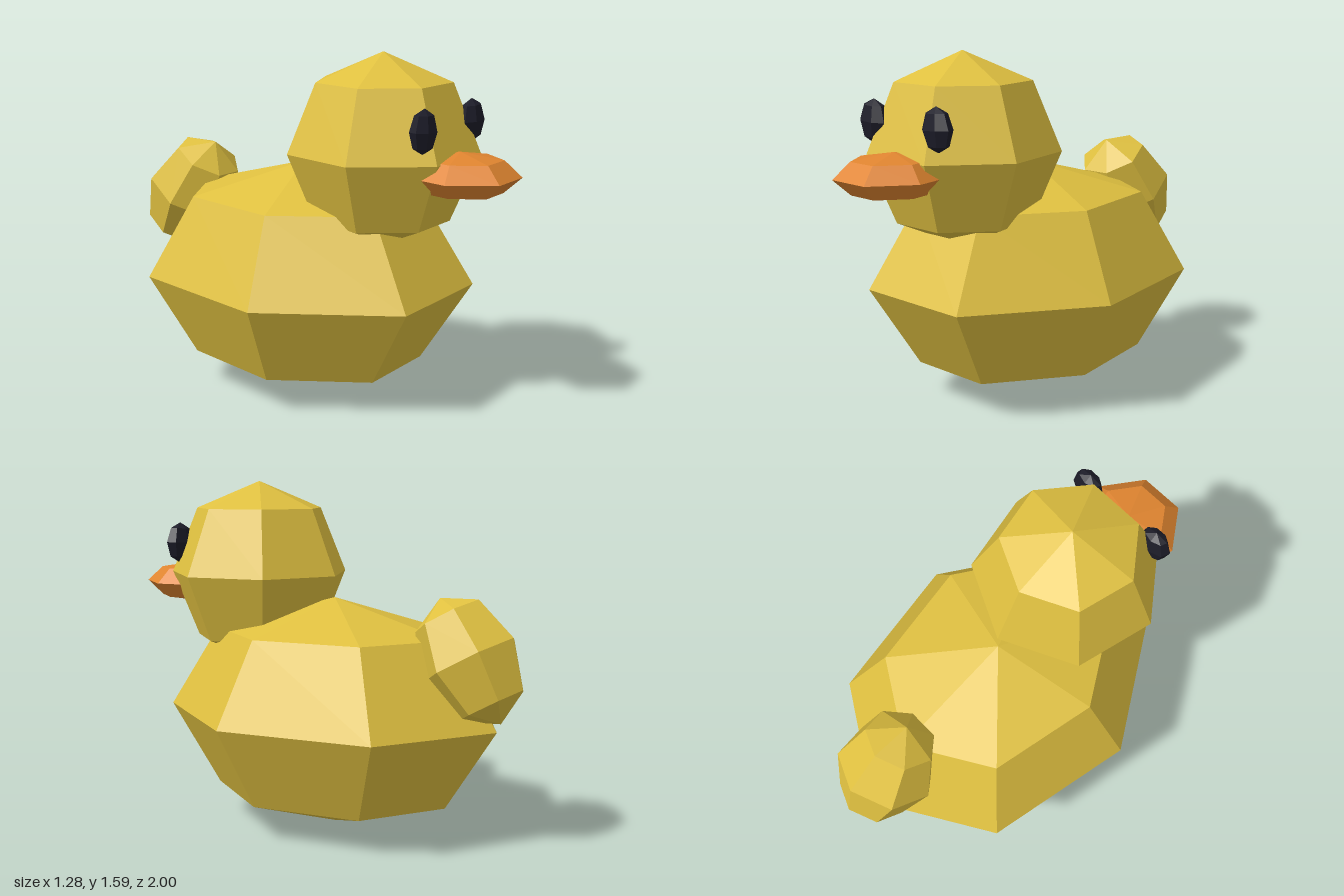
import * as THREE from 'three';

const mat = (name, color) => {
  const m = new THREE.MeshStandardMaterial({ color, flatShading: true });
  m.name = name;
  return m;
};

export function createModel() {
  const duck = new THREE.Group();
  duck.name = 'duck';
  const yellow = mat('yellow', 0xdfc040);
  const orange = mat('orange', 0xe08530);
  const black = mat('nearBlack', 0x1c1c28);

  // Seven-sided low-poly ball with one vertex column at the back and a flat facet in front
  const ball = (name, material, radii, position) => {
    const geo = new THREE.SphereGeometry(1, 7, 4);
    geo.rotateY(-Math.PI / 2);
    geo.scale(...radii);
    const mesh = new THREE.Mesh(geo, material);
    mesh.name = name;
    mesh.position.set(...position);
    duck.add(mesh);
    return mesh;
  };

  ball('body', yellow, [0.657, 0.53, 0.826], [0, 0.53, -0.056]);
  ball('head', yellow, [0.427, 0.43, 0.43], [0, 1.155, 0.372]);
  ball('beak', orange, [0.236, 0.098, 0.265], [0, 1.093, 0.761]);

  // Tail tuft leans forward at the top
  ball('tail', yellow, [0.226, 0.3, 0.228], [0, 0.83, -0.75]).rotation.x = Math.PI / 6;

  // Mirrored eyes with a slight tilt
  for (const s of [1, -1]) {
    const eye = ball(s > 0 ? 'leftEye' : 'rightEye', black, [0.081, 0.095, 0.049], [s * 0.2, 1.295, 0.7]);
    eye.rotation.z = s * 0.05;
  }
  return duck;
}
